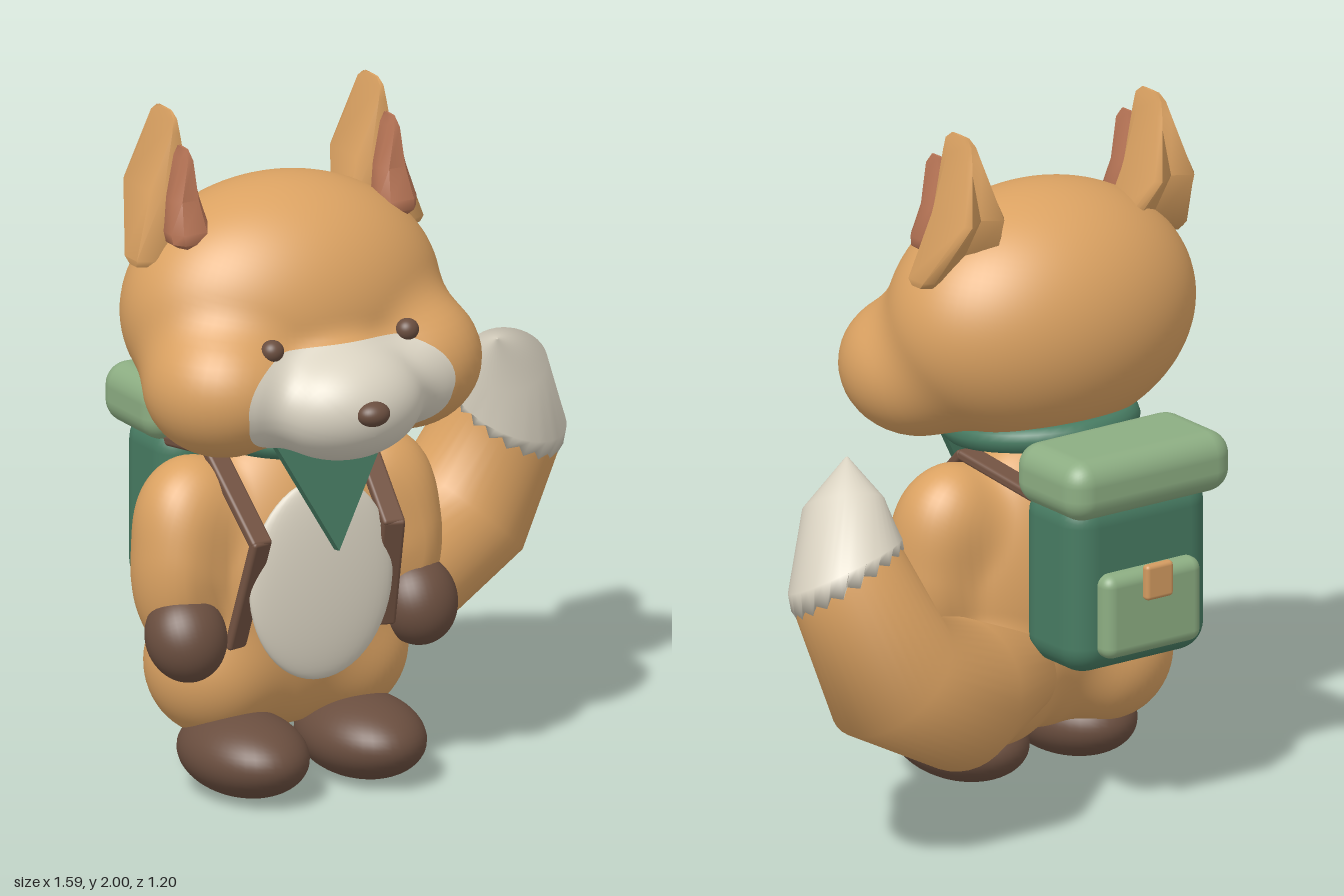
import * as THREE from 'three';
import { mergeVertices, toCreasedNormals } from 'three/addons/utils/BufferGeometryUtils.js';
import { RoundedBoxGeometry } from 'three/addons/geometries/RoundedBoxGeometry.js';

const V = (x, y, z) => new THREE.Vector3(x, y, z);
const material = (name, color) => {
  const m = new THREE.MeshStandardMaterial({ color });
  m.name = name;
  return m;
};

// Smoothly blended ellipsoids, each given as [cx, cy, cz, rx, ry, rz]
function blendDistance(p, ellipsoids, k) {
  let d = Infinity;
  for (const [cx, cy, cz, rx, ry, rz] of ellipsoids) {
    const x = p.x - cx, y = p.y - cy, z = p.z - cz;
    const k0 = Math.hypot(x / rx, y / ry, z / rz);
    const k1 = Math.hypot(x / rx ** 2, y / ry ** 2, z / rz ** 2) || 1e-6;
    const e = k0 * (k0 - 1) / k1;
    if (d === Infinity) { d = e; continue; }
    const h = Math.max(k - Math.abs(d - e), 0) / k;
    d = Math.min(d, e) - h * h * k / 4;
  }
  return d;
}

// Returns a function that projects a point from the centre onto the blended surface
function projector(center, ellipsoids, k) {
  return (target, offset = 0) => {
    const dir = target.clone().sub(center).normalize();
    let a = 0, b = 1;
    for (let i = 0; i < 24; i++) {
      const m = (a + b) / 2;
      if (blendDistance(center.clone().addScaledVector(dir, m), ellipsoids, k) < 0) a = m;
      else b = m;
    }
    return center.clone().addScaledVector(dir, a + offset);
  };
}

// Moves every vertex by a rule and recomputes smooth normals
function reshape(geometry, rule) {
  geometry.deleteAttribute('uv');
  geometry.deleteAttribute('normal');
  const g = mergeVertices(geometry, 1e-5);
  const pos = g.attributes.position;
  for (let i = 0; i < pos.count; i++) {
    const p = rule(V(pos.getX(i), pos.getY(i), pos.getZ(i)));
    pos.setXYZ(i, p.x, p.y, p.z);
  }
  g.computeVertexNormals();
  return g;
}

// Skin over closed cross-sections, capped at both ends
function loft(rings) {
  const n = rings[0].length, index = [];
  const pts = rings.flat();
  for (let i = 0; i < rings.length - 1; i++) {
    for (let j = 0; j < n; j++) {
      const a = i * n + j, b = i * n + (j + 1) % n;
      index.push(a, b, b + n, a, b + n, a + n);
    }
  }
  for (const [ring, flip] of [[0, true], [rings.length - 1, false]]) {
    const c = pts.length;
    pts.push(rings[ring].reduce((s, p) => s.add(p), V(0, 0, 0)).divideScalar(n));
    for (let j = 0; j < n; j++) {
      const a = ring * n + j, b = ring * n + (j + 1) % n;
      index.push(c, flip ? b : a, flip ? a : b);
    }
  }
  const g = new THREE.BufferGeometry().setFromPoints(pts);
  g.setIndex(index);
  g.computeVertexNormals();
  return g;
}

// Circle around a centre, square to a direction, with an optional zigzag along it
function circle(center, dir, radius, zigzag = 0, n = 40) {
  const t = dir.clone().normalize();
  const u = V(0, 0, 1).cross(t).normalize();
  const v = t.clone().cross(u);
  return Array.from({ length: n }, (_, j) => {
    const a = j / n * Math.PI * 2;
    return center.clone().addScaledVector(u, radius * Math.cos(a))
      .addScaledVector(v, radius * Math.sin(a)).addScaledVector(t, j % 2 ? zigzag : -zigzag);
  });
}

export function createModel() {
  const fur = material('orange fur', 0xdba262);
  const cream = material('cream fur', 0xdad3c2);
  const dark = material('dark brown', 0x6a4e3f);
  const leather = material('strap brown', 0x735342);
  const innerEar = material('inner ear', 0xb87556);
  const green = material('dark green', 0x477b62);
  const sage = material('light green', 0x8cad82);
  const tan = material('buckle tan', 0xd29a60);

  const model = new THREE.Group();
  model.name = 'foxWithBackpack';
  const fox = new THREE.Group();
  fox.name = 'fox';
  fox.position.x = -0.28;
  model.add(fox);
  const add = (name, geometry, mat, position = [0, 0, 0]) => {
    const mesh = new THREE.Mesh(geometry, mat);
    mesh.name = name;
    mesh.position.set(...position);
    fox.add(mesh);
    return mesh;
  };
  const ball = (name, mat, position, radii) =>
    add(name, new THREE.SphereGeometry(1, 40, 28).scale(...radii), mat, position);
  const box = (name, mat, position, size, radius) =>
    add(name, new RoundedBoxGeometry(...size, 4, radius), mat, position);

  // Head: skull, cheeks and muzzle in one skin
  const onHead = projector(V(0, 1.32, 0.05), [
    [0, 1.4, 0, 0.482, 0.37, 0.355],
    [0.29, 1.24, 0.185, 0.226, 0.205, 0.235],
    [-0.29, 1.24, 0.185, 0.226, 0.205, 0.235],
    [0, 1.2, 0.35, 0.238, 0.168, 0.21],
  ], 0.07);
  add('head', reshape(new THREE.SphereGeometry(1, 96, 64),
    (p) => onHead(p.add(V(0, 1.32, 0.05)))), fur);

  // Cream mask with a flat top edge
  add('muzzleMask', reshape(new THREE.RingGeometry(0.001, 1, 72, 20), (p) => {
    const r = Math.hypot(p.x, p.y), s = p.y / r;
    const y = s > 0 ? Math.min(0.168, 0.215 * s) : -0.17 * (-s) ** 0.85;
    return onHead(V(0.3 * p.x, 1.2 + r * y, 0.38 + (s < 0 ? 0.06 : -0.03) * s * r), 0.004);
  }), cream);
  ball('nose', dark, [-0.01, 1.21, 0.557], [0.05, 0.036, 0.042]);

  // Torso, haunches, shoulders and arms in one skin, and the belly patch
  const limbs = [1, -1].flatMap((s) => [
    [0.2 * s, 0.355, -0.025, 0.2, 0.215, 0.205],
    [0.3 * s, 0.815, 0.015, 0.155, 0.17, 0.14],
    [0.357 * s, 0.67, 0.035, 0.126, 0.25, 0.142],
  ]);
  const onBody = projector(V(0, 0.6, 0), [[0, 0.6, 0, 0.36, 0.45, 0.225], ...limbs], 0.05);
  add('body', reshape(new THREE.SphereGeometry(1, 128, 80),
    (p) => onBody(p.add(V(0, 0.6, 0)))), fur);
  ball('belly', cream, [0, 0.638, 0.235], [0.232, 0.298, 0.045]);

  // Ear sections: [y, half width, front z, back z]
  const earOuter = [[1.56, 0.125, 0.02, -0.07], [1.58, 0.13, 0.03, -0.09], [1.77, 0.07, 0, -0.205],
    [1.94, 0.02, -0.005, -0.15], [1.98, 0.01, -0.01, -0.135], [2, 0.004, -0.035, -0.11]];
  const earInner = [[1.625, 0.035, 0.1, 0.03], [1.64, 0.058, 0.113, 0.02], [1.67, 0.063, 0.11, 0.015],
    [1.76, 0.044, 0.08, 0], [1.88, 0.014, 0.08, 0], [1.91, 0.004, 0.06, 0.01]];
  const earGeometry = (sections, cx, notch) => toCreasedNormals(loft(sections.map(([y, w, f, b]) =>
    [V(cx - w, y, f - 0.03), V(cx - w * 0.6, y, f), V(cx + w * 0.6, y, f), V(cx + w, y, f - 0.03),
      V(cx + w, y, b + 0.02), V(cx + w * 0.8, y, b), V(cx, y, b + notch), V(cx - w * 0.8, y, b),
      V(cx - w, y, b + 0.02)])), 0.9);

  for (const s of [1, -1]) {
    const side = s > 0 ? 'left' : 'right';
    add(side + 'Ear', earGeometry(earOuter, 0.335 * s, 0.035), fur);
    add(side + 'InnerEar', earGeometry(earInner, 0.335 * s, 0.02), innerEar);
    const eye = onHead(V(0.223 * s - 0.005, 1.375, 0.36));
    ball(side + 'Eye', dark, eye.toArray(), [0.034, 0.032, 0.033]);
    const hand = ball(side + 'Hand', dark, [0.374 * s, 0.49, 0.122], [0.118, 0.132, 0.112]);
    hand.rotation.x = -0.5;
    ball(side + 'Foot', dark, [0.19 * s, 0.122, 0.125], [0.17, 0.12, 0.24]);

    // Shoulder strap from the pack, over the shoulder and under the arm
    const path = [V(0.19 * s, 0.94, -0.28), V(0.235 * s, 1.0, 0.03), V(0.215 * s, 0.78, 0.27),
      V(0.24 * s, 0.46, 0.17)];
    for (let i = 0; i < 3; i++) {
      const length = path[i].distanceTo(path[i + 1]) + 0.02;
      const strap = new THREE.Mesh(new RoundedBoxGeometry(0.068, 0.03, length, 2, 0.01), leather);
      strap.name = side + 'Strap';
      strap.position.copy(path[i]).lerp(path[i + 1], 0.5);
      strap.lookAt(path[i + 1]);
      fox.add(strap);
    }
  }

  // Neckerchief: collar and hanging point
  const collar = add('collar', new THREE.TorusGeometry(0.245, 0.04, 12, 48).rotateX(Math.PI / 2), green,
    [0, 1.065, 0]);
  collar.rotation.x = 0.11;
  const flag = new THREE.Shape([new THREE.Vector2(-0.185, 0), new THREE.Vector2(0, -0.335),
    new THREE.Vector2(0.185, 0)]);
  const kerchief = add('kerchief', new THREE.ExtrudeGeometry(flag, { depth: 0.03, bevelEnabled: false }),
    green, [0, 1.075, 0.27]);
  kerchief.rotation.x = -0.13;

  // Backpack
  box('packBody', green, [0, 0.725, -0.36], [0.49, 0.53, 0.28], 0.085);
  box('packFlap', sage, [0, 1.03, -0.395], [0.57, 0.18, 0.32], 0.07);
  box('packPocket', sage, [0, 0.642, -0.51], [0.34, 0.25, 0.08], 0.035);
  box('packBuckle', tan, [0, 0.735, -0.558], [0.095, 0.105, 0.03], 0.012);

  // Bushy tail, bending outward and up
  const tipDir = V(0.1, 0.22, 0.11);
  const tail = [[V(0.2, 0.39, -0.17), 0.12], [V(0.54, 0.44, -0.325), 0.22], [V(0.815, 0.565, -0.395), 0.21],
    [V(0.9, 0.845, -0.3), 0.18], [V(0.91, 0.9, -0.28), 0.14]];
  const along = (i) => tail[Math.min(i + 1, 3)][0].clone().sub(tail[Math.max(i - 1, 0)][0]);
  add('tail', loft(tail.map(([p, r], i) => circle(p, i > 2 ? tipDir : along(i), r))), fur);
  const pointDir = V(-0.05, 0.2, 0.12);
  add('tailTip', loft([
    circle(V(0.9, 0.85, -0.298), tipDir, 0.184, 0.012),
    circle(V(0.9, 0.885, -0.285), V(0.06, 0.22, 0.1), 0.18),
    circle(V(0.85, 1.04, -0.21), pointDir, 0.118),
    circle(V(0.768, 1.138, -0.115), pointDir, 0.004),
  ]), cream);

  return model;
}
